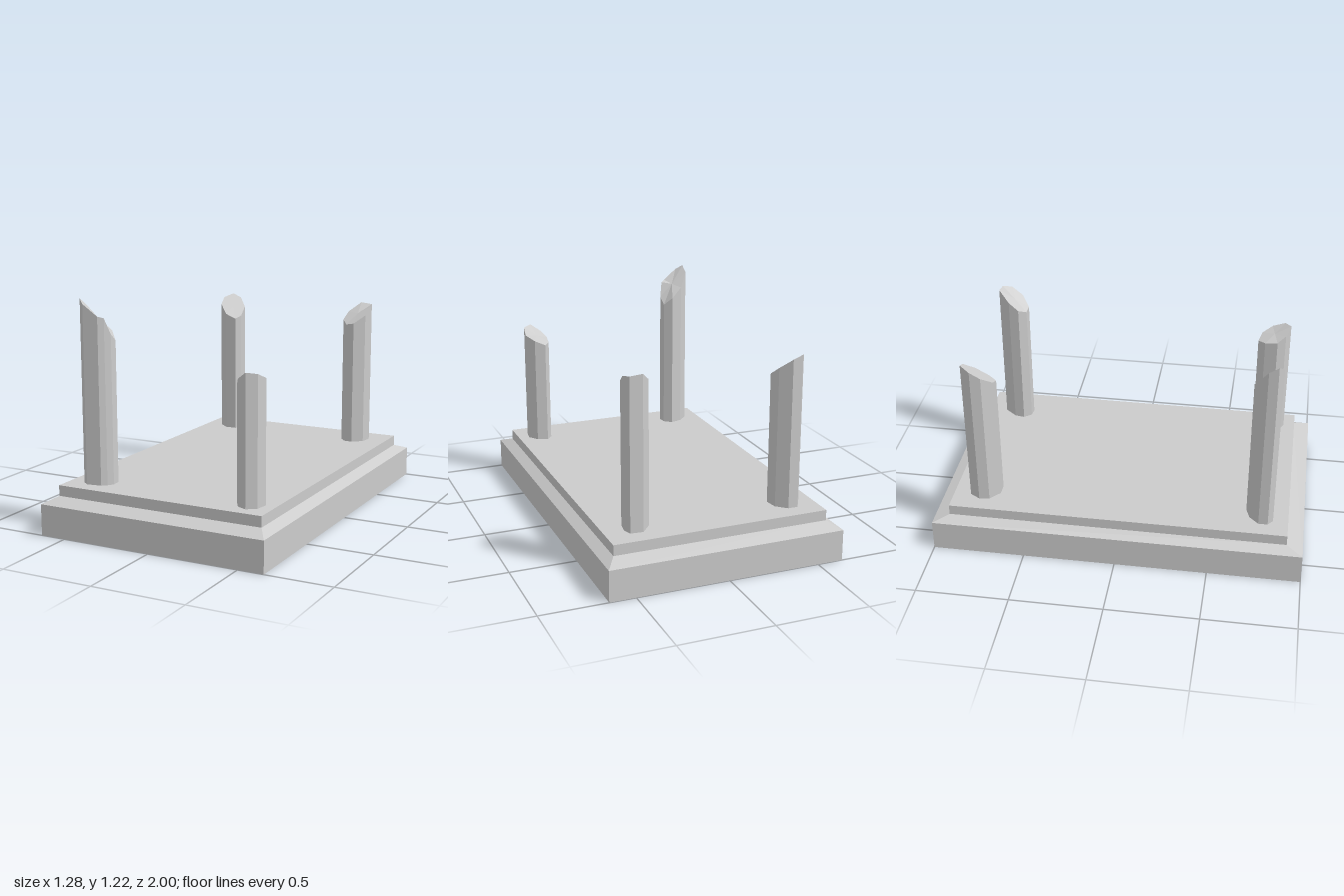
import * as THREE from 'three';

const material = new THREE.MeshStandardMaterial({ color: 0xcccccc, flatShading: true });

// Rectangular tier whose top may be narrower than its bottom
function tier(name, y0, y1, [bx, bz], [tx, tz]) {
  const geo = new THREE.BoxGeometry(2, y1 - y0, 2);
  geo.translate(0, (y0 + y1) / 2, 0);
  const p = geo.attributes.position;
  for (let i = 0; i < p.count; i++) {
    const top = p.getY(i) > (y0 + y1) / 2;
    p.setX(i, p.getX(i) * (top ? tx : bx));
    p.setZ(i, p.getZ(i) * (top ? tz : bz));
  }
  geo.computeVertexNormals();
  const mesh = new THREE.Mesh(geo, material);
  mesh.name = name;
  return mesh;
}

// Faceted shaft with a jagged, slanting top; rim points are [x, z, top height]
function brokenColumn(name, rim, base) {
  const centre = [0, 0, 0];
  const tops = rim.map(([x, z, y]) => [x, y, z]);
  for (const t of tops) t.forEach((v, k) => { centre[k] += v / rim.length; });
  const pos = [];
  tops.forEach((a, i) => {
    const b = tops[(i + 1) % tops.length];
    const a0 = [a[0], base, a[2]], b0 = [b[0], base, b[2]];
    pos.push(...a0, ...b0, ...b, ...a0, ...b, ...a); // side panel
    pos.push(...centre, ...a, ...b); // broken top
    pos.push(centre[0], base, centre[2], ...b0, ...a0); // underside
  });
  const geo = new THREE.BufferGeometry();
  geo.setAttribute('position', new THREE.Float32BufferAttribute(pos, 3));
  geo.computeVertexNormals();
  const mesh = new THREE.Mesh(geo, material);
  mesh.name = name;
  return mesh;
}

// Rims run from the front round by the model's left
const columns = {
  frontLeftColumn: [
    [0.466, 0.85, 0.928], [0.515, 0.815, 0.92], [0.526, 0.745, 0.89], [0.487, 0.69, 0.865],
    [0.43, 0.67, 0.84], [0.397, 0.71, 0.845], [0.386, 0.78, 0.857], [0.413, 0.825, 0.89],
  ],
  frontRightColumn: [
    [-0.466, 0.832, 1.198], [-0.385, 0.822, 1.137], [-0.36, 0.8, 1.128], [-0.34, 0.77, 1.045],
    [-0.344, 0.72, 1.005], [-0.386, 0.685, 1.05], [-0.45, 0.705, 1.107], [-0.5, 0.755, 1.19],
    [-0.5, 0.805, 1.222],
  ],
  backLeftColumn: [
    [0.362, -0.66, 0.955], [0.41, -0.655, 0.964], [0.465, -0.7, 1.01], [0.476, -0.765, 1.055],
    [0.46, -0.815, 1.063], [0.392, -0.82, 1.07], [0.338, -0.755, 1.02], [0.328, -0.7, 0.978],
  ],
  backRightColumn: [
    [-0.434, -0.66, 0.968], [-0.37, -0.66, 0.942], [-0.35, -0.7, 0.958], [-0.36, -0.77, 1.004],
    [-0.413, -0.82, 1.055], [-0.466, -0.82, 1.076], [-0.5, -0.765, 1.057], [-0.492, -0.71, 1.02],
  ],
};

export function createModel() {
  const group = new THREE.Group();
  group.name = 'ruinedPlatform';

  // Stepped base
  const outer = [0.64, 1], inner = [0.585, 0.913];
  group.add(tier('plinth', 0, 0.168, outer, outer));
  group.add(tier('slopedLedge', 0.168, 0.198, outer, inner));
  group.add(tier('floorSlab', 0.198, 0.255, inner, inner));

  // Four broken columns at the corners
  for (const [name, rim] of Object.entries(columns)) group.add(brokenColumn(name, rim, 0.25));
  return group;
}
